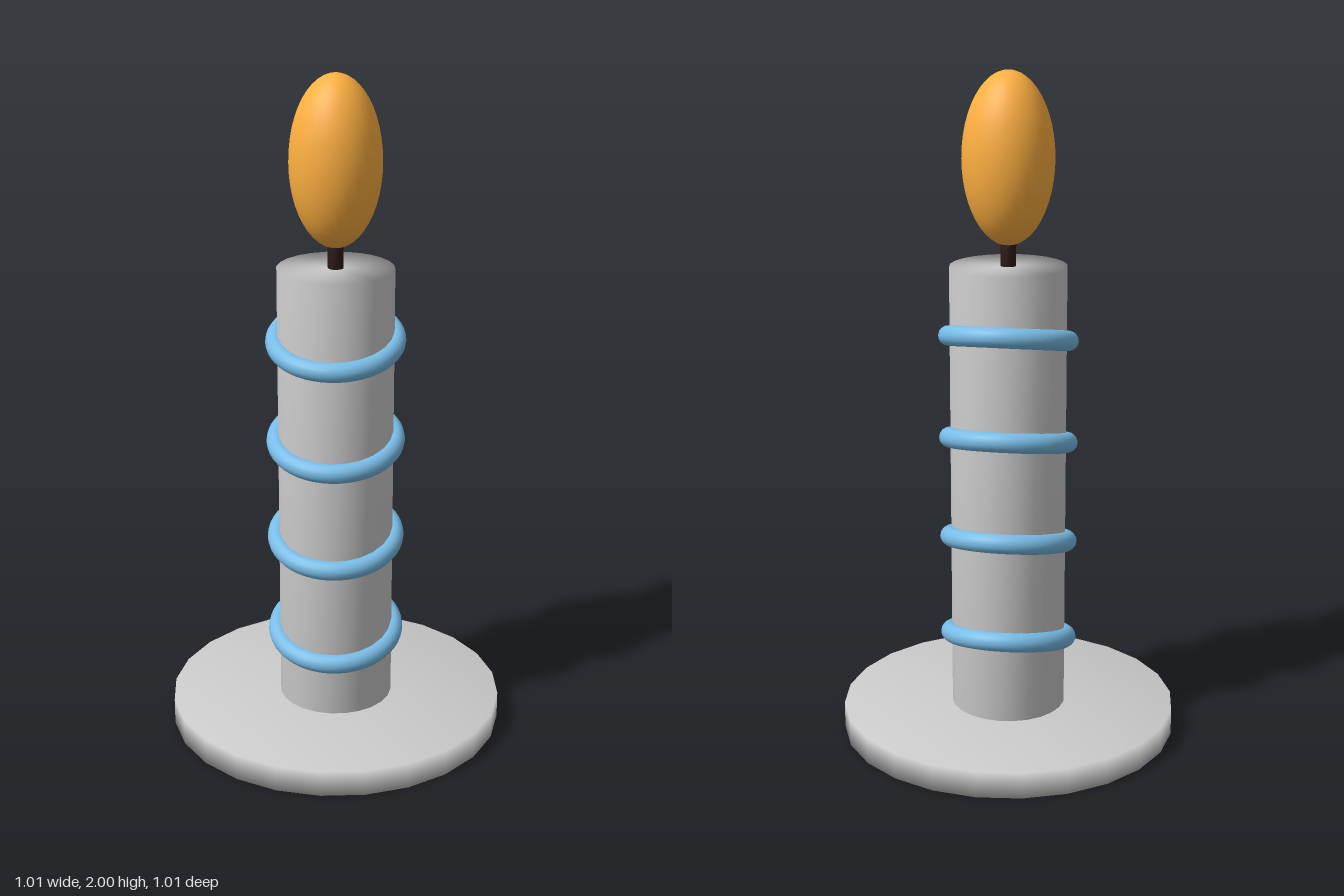
import * as THREE from 'three';
import { mergeVertices } from 'three/addons/utils/BufferGeometryUtils.js';

const material = (color) => new THREE.MeshStandardMaterial({ color });

// Cylinder standing on y0, with shading blended softly over its rims
function softCylinder(radius, y0, y1, sides) {
  const plain = new THREE.CylinderGeometry(radius, radius, y1 - y0, sides);
  plain.deleteAttribute('normal');
  plain.deleteAttribute('uv');
  const geometry = mergeVertices(plain, 1e-4);
  geometry.computeVertexNormals();
  geometry.translate(0, (y0 + y1) / 2, 0);
  return geometry;
}

export function createModel() {
  const group = new THREE.Group();
  const add = (name, geometry, mat) => {
    const mesh = new THREE.Mesh(geometry, mat);
    mesh.name = name;
    group.add(mesh);
    return mesh;
  };
  const grey = material(0xcccccc);
  const blue = material(0x78bce6);

  // Dish and candle column
  add('baseDish', softCylinder(0.505, 0, 0.08, 24), grey);
  add('candleColumn', softCylinder(0.172, 0.08, 1.44, 24), grey);

  // Four tilted bands, higher at the back
  const band = new THREE.TorusGeometry(0.176, 0.03, 16, 48);
  for (let i = 0; i < 4; i++) {
    const ring = add('band' + (i + 1), band, blue);
    ring.position.y = 0.294 + i * 0.31;
    ring.rotation.x = Math.PI / 2 + 0.25;
  }

  // Wick and flame
  add('wick', softCylinder(0.023, 1.42, 1.54, 16), material(0x2a1a18));
  const flame = new THREE.SphereGeometry(1, 32, 24);
  flame.scale(0.134, 0.25, 0.134);
  flame.translate(0, 1.75, 0);
  add('flame', flame, material(0xffb040));

  return group;
}
